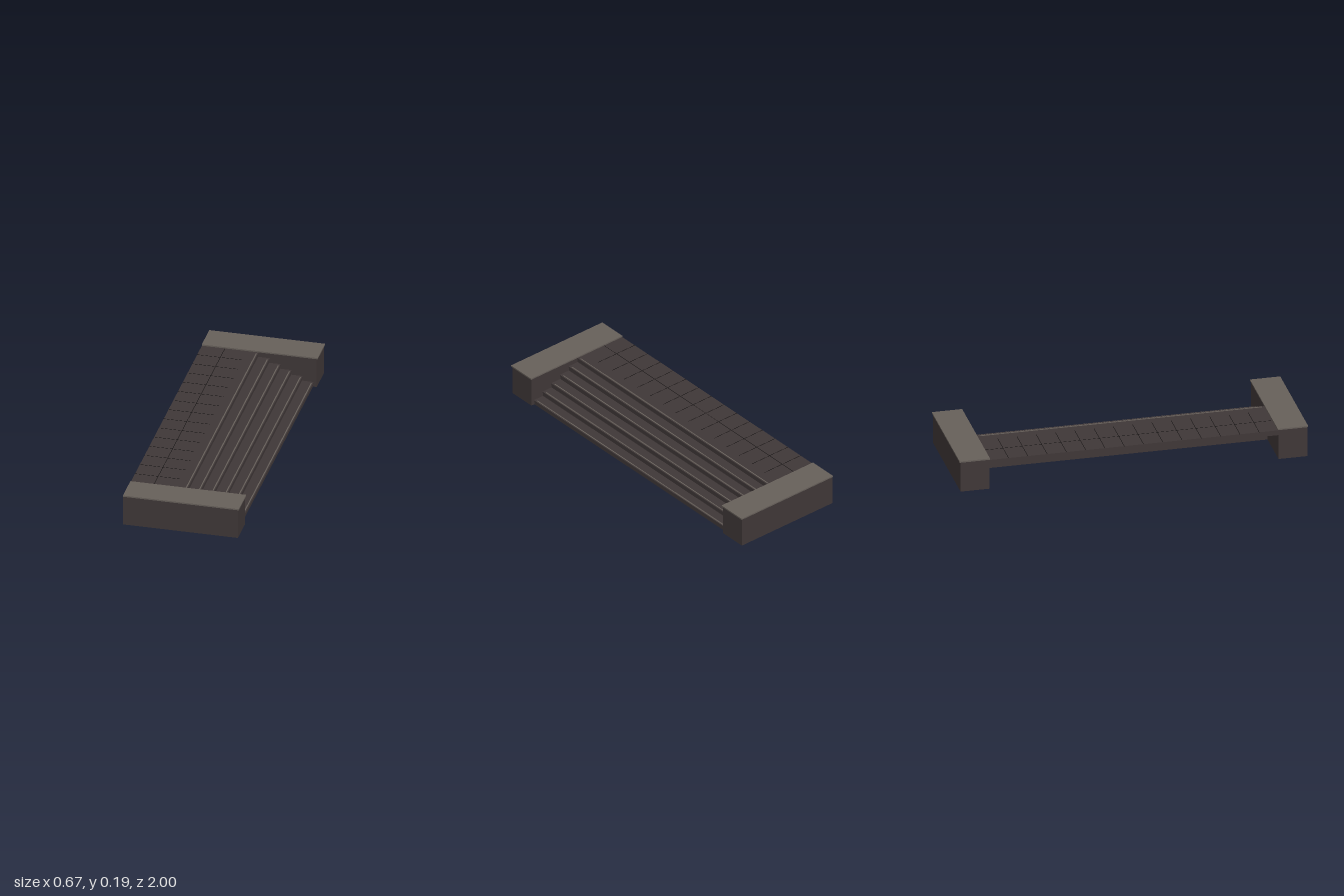
import * as THREE from 'three';

export function createModel() {
  const model = new THREE.Group();
  model.name = 'terraceStairs';

  const mat = (name, color) => {
    const m = new THREE.MeshStandardMaterial({ color });
    m.name = name;
    return m;
  };
  const stone = mat('darkStone', 0x3f3737);
  const capStone = mat('paleStone', 0x67605a);
  const joint = mat('blackJoint', 0x0c0b0b);

  // Box given by its limits on each axis
  const box = (name, material, x0, x1, y0, y1, z0, z1, parent = model) => {
    const mesh = new THREE.Mesh(new THREE.BoxGeometry(x1 - x0, y1 - y0, z1 - z0), material);
    mesh.position.set((x0 + x1) / 2, (y0 + y1) / 2, (z0 + z1) / 2);
    mesh.name = name;
    parent.add(mesh);
    return mesh;
  };

  const inner = 0.83, top = 0.177, back = -0.333;
  const steps = 6, rise = top / steps, run = 0.0632;
  const nose = 0.31, lip = 0.004, wallX = -0.07;

  // End walls with coping slabs
  for (const s of [-1, 1]) {
    const wall = new THREE.Group();
    wall.name = s > 0 ? 'frontWall' : 'backWall';
    const zs = (a, b) => (s > 0 ? [a, b] : [-b, -a]);
    box('wallBlock', stone, back, 0.327, 0, 0.178, ...zs(inner, 0.995), wall);
    box('coping', capStone, back, 0.333, 0.178, 0.186, ...zs(inner - 0.004, 1), wall);
    model.add(wall);
  }

  // Stepped body: each riser sits just behind the tread nosing
  const profile = new THREE.Shape();
  profile.moveTo(wallX, 0);
  for (let i = 0; i < steps; i++) {
    const x = nose - lip - i * run;
    profile.lineTo(x, i * rise);
    profile.lineTo(x, (i + 1) * rise - 0.001);
  }
  profile.lineTo(wallX, top - 0.001);
  profile.closePath();
  const bodyGeo = new THREE.ExtrudeGeometry(profile, { depth: 2 * inner, bevelEnabled: false });
  bodyGeo.translate(0, 0, -inner);
  const body = new THREE.Mesh(bodyGeo, stone);
  body.name = 'stairBody';
  model.add(body);

  // Treads with a raised pale grip strip near each edge
  for (let i = 0; i < steps; i++) {
    const x = nose - i * run, y = (i + 1) * rise;
    const rear = i === steps - 1 ? wallX : x - run - lip;
    box('tread', stone, rear, x, y - 0.008, y, -inner, inner);
    box('gripStrip', capStone, x - 0.012, x - 0.006, y - 0.001, y + 0.002, -0.81, 0.81);
  }

  // Overhanging landing slab
  box('landing', stone, back, wallX, top - rise, top, -inner, inner);

  // Joints between the paving tiles
  const half = 0.0012, jy = top + 0.0006;
  const tiles = 15, pitch = (2 * inner) / tiles;
  box('longJoint', joint, -0.2 - half, -0.2 + half, top - 0.001, jy, -inner, inner);
  for (let i = 1; i < tiles; i++) {
    const z = -inner + i * pitch;
    box('crossJoint', joint, back, wallX, top - 0.001, jy, z - half, z + half);
  }

  return model;
}
